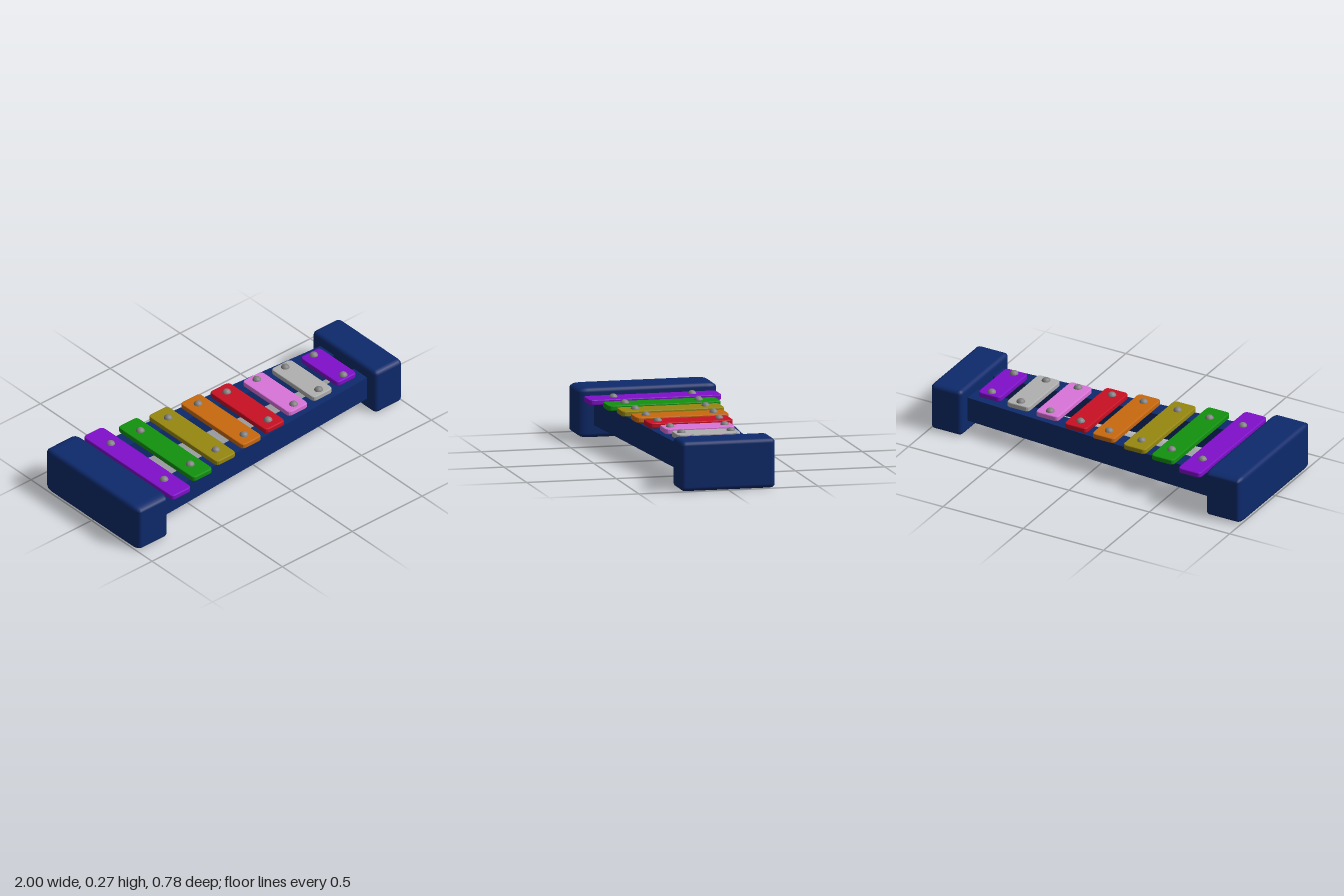
import * as THREE from 'three';
import { RoundedBoxGeometry } from 'three/addons/geometries/RoundedBoxGeometry.js';

const material = (color) => new THREE.MeshStandardMaterial({ color });
const navy = material(0x0d2a6c);
const steel = material(0x808080);

function addMesh(parent, name, geometry, mat, x = 0, y = 0, z = 0) {
  const mesh = new THREE.Mesh(geometry, mat);
  mesh.name = name;
  mesh.position.set(x, y, z);
  parent.add(mesh);
  return mesh;
}

// End block with softened edges; stretch lengthens the rounding along z
function endBlock(width, height, depth, stretch) {
  return new RoundedBoxGeometry(width, height, depth / stretch, 2, 0.024).scale(1, 1, stretch);
}

// Rounded plank lying flat, bottom at y = 0
function plank(width, length, thickness) {
  const bevel = 0.005, r = 0.02;
  const a = width / 2 - bevel, b = length / 2 - bevel;
  const s = new THREE.Shape();
  s.moveTo(-a + r, -b);
  s.lineTo(a - r, -b);
  s.quadraticCurveTo(a, -b, a, -b + r);
  s.lineTo(a, b - r);
  s.quadraticCurveTo(a, b, a - r, b);
  s.lineTo(-a + r, b);
  s.quadraticCurveTo(-a, b, -a, b - r);
  s.lineTo(-a, -b + r);
  s.quadraticCurveTo(-a, -b, -a + r, -b);
  return new THREE.ExtrudeGeometry(s, {
    depth: thickness - 2 * bevel, bevelThickness: bevel, bevelSize: bevel,
    bevelSegments: 2, curveSegments: 4,
  }).rotateX(-Math.PI / 2).translate(0, bevel, 0);
}

// Straight rail converging towards the narrow end
function rail(side) {
  const s = new THREE.Shape([
    [-0.8, 0.3], [-0.8, 0.19], [0.83, 0.082], [0.83, 0.192],
  ].map(([x, z]) => new THREE.Vector2(x, z * side)));
  return new THREE.ExtrudeGeometry(s, { depth: 0.141, bevelEnabled: false })
    .rotateX(-Math.PI / 2);
}

export function createModel() {
  const model = new THREE.Group();
  model.name = 'xylophone';

  // Frame
  const frame = new THREE.Group();
  frame.name = 'frame';
  model.add(frame);
  addMesh(frame, 'wideEndBlock', endBlock(0.22, 0.274, 0.776, 2.4), navy, -0.89, 0.137, 0);
  addMesh(frame, 'narrowEndBlock', endBlock(0.195, 0.274, 0.528, 1.2), navy, 0.9025, 0.137, 0);
  addMesh(frame, 'frontRail', rail(-1), navy, 0, 0.068, 0);
  addMesh(frame, 'backRail', rail(1), navy, 0, 0.068, 0);

  // Tone bars: centre x, half length, screw offset, colour
  const bars = [
    [-0.672, 0.37, 0.22, 0x800fca],
    [-0.472, 0.315, 0.206, 0x12920f],
    [-0.28, 0.286, 0.197, 0x97880f],
    [-0.073, 0.26, 0.189, 0xc9690f],
    [0.115, 0.235, 0.171, 0xc90f24],
    [0.315, 0.195, 0.152, 0xda74da],
    [0.506, 0.178, 0.138, 0xb0b0b0],
    [0.696, 0.156, 0.122, 0x800fca],
  ];
  const screw = new THREE.SphereGeometry(0.025, 16, 12);
  bars.forEach(([x, half, offset, color], i) => {
    const bar = new THREE.Group();
    bar.name = `toneBar${i + 1}`;
    bar.position.set(x, 0.209, 0);
    model.add(bar);
    addMesh(bar, 'plank', plank(0.14, half * 2, 0.03), material(color));
    addMesh(bar, 'frontScrew', screw, steel, 0, 0.024, offset);
    addMesh(bar, 'backScrew', screw, steel, 0, 0.024, -offset);
  });

  return model;
}
